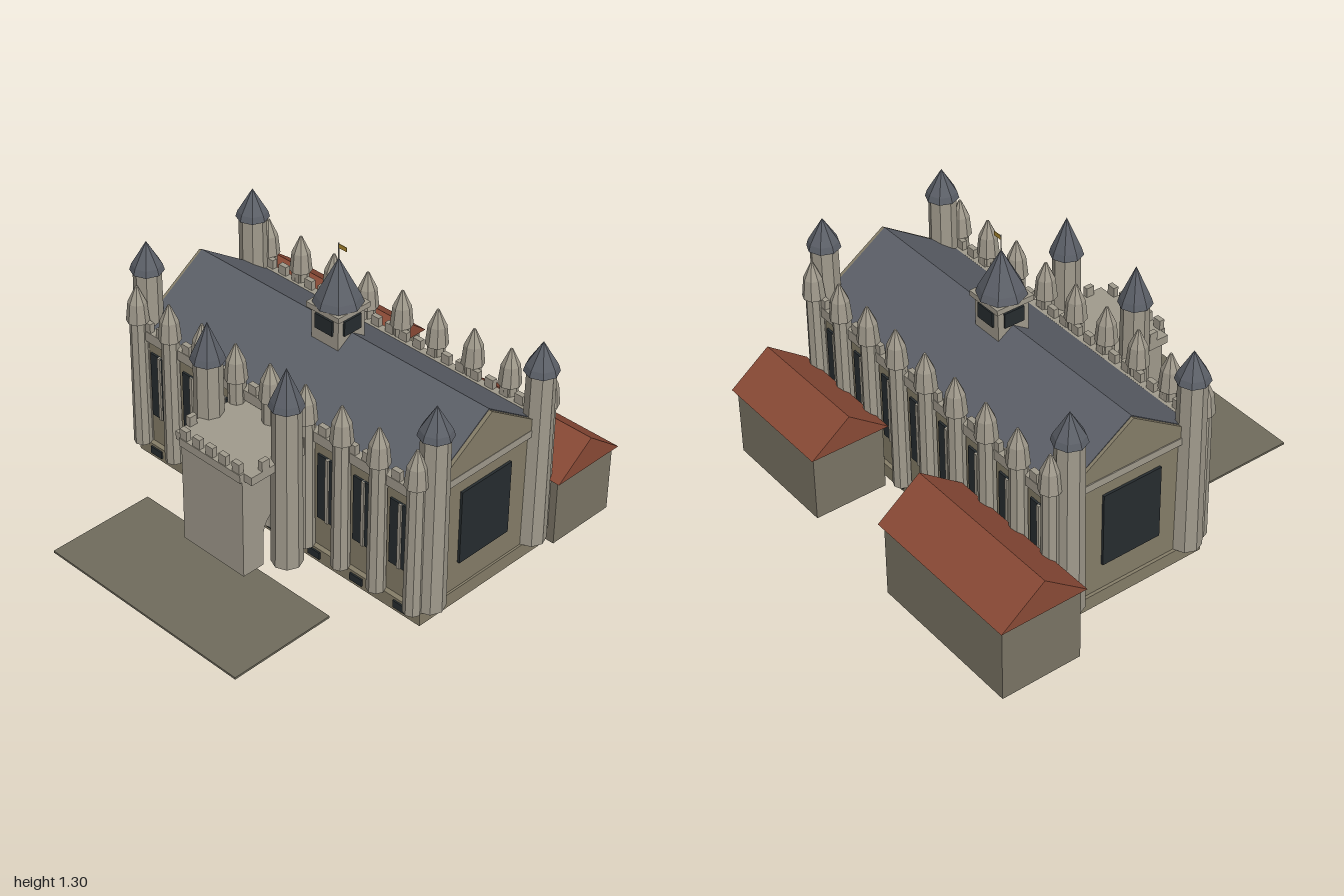
import * as THREE from 'three';

const mat = (color, side = THREE.FrontSide) =>
  new THREE.MeshStandardMaterial({ color, flatShading: true, side });
const stone = mat(0xa09a8c), wall = mat(0x857d68), slate = mat(0x5c6068), glass = mat(0x262c2f);
const tile = mat(0x8a4a36), plaster = mat(0x7a7465), paving = mat(0x6f6b5c), gold = mat(0xa8862f, THREE.DoubleSide);

// Building axis
const CX = 0.07, CZ = -0.16;

export function createModel() {
  const model = new THREE.Group();

  const add = (name, geo, material, x = 0, y = 0, z = 0, parent = model) => {
    const m = new THREE.Mesh(geo, material);
    m.name = name;
    m.position.set(x, y, z);
    parent.add(m);
    return m;
  };
  // Box given by its bounds on each axis
  const box = (name, material, [x0, x1], [y0, y1], [z0, z1], parent = model) =>
    add(name, new THREE.BoxGeometry(x1 - x0, y1 - y0, z1 - z0), material,
      (x0 + x1) / 2, (y0 + y1) / 2, (z0 + z1) / 2, parent);
  // Cross-section in (z, y), extruded from x0 to x1
  const alongX = (name, shape, material, x0, x1, parent = model) => {
    const geo = new THREE.ExtrudeGeometry(shape, { depth: x1 - x0, bevelEnabled: false, curveSegments: 8 });
    geo.rotateY(-Math.PI / 2); // shape x -> z, depth -> -x
    return add(name, geo, material, x1, 0, 0, parent);
  };
  const gableRoof = (name, material, x0, x1, z0, z1, eave, ridge, parent) => {
    const s = new THREE.Shape([[z0, eave], [z1, eave], [(z0 + z1) / 2, ridge]].map(p => new THREE.Vector2(...p)));
    return alongX(name, s, material, x0, x1, parent);
  };
  const octagon = (name, points, material, x, z, parent) =>
    add(name, new THREE.LatheGeometry(points.map(p => new THREE.Vector2(...p)), 8), material, x, 0, z, parent);

  // Plinth with cellar windows
  box('plinth', wall, [-0.79, 0.93], [0, 0.068], [-0.54, 0.225]);
  for (let i = 0; i < 7; i++) {
    const x = -0.675 + i * 0.249;
    for (const z of [-0.54, 0.225])
      box('cellarWindow', glass, [x - 0.035, x + 0.035], [0.02, 0.056], [z - 0.008, z + 0.008]);
  }

  // Hall walls, roof and gables
  box('hallWalls', wall, [-0.775, 0.92], [0.068, 0.65], [-0.52, 0.2]);
  gableRoof('hallRoof', slate, -0.77, 0.915, -0.53, 0.21, 0.65, 0.897);
  for (const x of [-0.785, 0.915]) gableRoof('gable', wall, x, x + 0.018, -0.53, 0.21, 0.648, 0.892);
  for (const [x, s] of [[-0.775, -1], [0.92, 1]]) {
    add('gableBand', new THREE.BoxGeometry(0.03, 0.035, 0.72), stone, x, 0.65, CZ);
    add('gableWindow', new THREE.BoxGeometry(0.02, 0.365, 0.3), glass, x + s * 0.002, 0.383, CZ + 0.005);
  }

  // Long sides: parapet, paired windows, buttresses with pinnacles
  const step = 0.2066;
  for (const s of [-1, 1]) {
    const side = new THREE.Group();
    side.name = s > 0 ? 'frontSide' : 'backSide';
    model.add(side);
    const face = CZ + s * 0.36;
    add('parapet', new THREE.BoxGeometry(1.66, 0.05, 0.04), stone, CX, 0.642, face + s * 0.005, side);
    for (let i = 0; i < 20; i++)
      add('merlon', new THREE.BoxGeometry(0.045, 0.05, 0.025), stone, CX + (i - 9.5) * 0.0826, 0.687, face + s * 0.01, side);
    for (let i = 0; i < 8; i++) {
      const x = CX + (i - 3.5) * step;
      add('window', new THREE.BoxGeometry(0.12, 0.33, 0.02), glass, x, 0.385, face, side);
      add('mullion', new THREE.BoxGeometry(0.016, 0.33, 0.02), stone, x, 0.385, face + s * 0.008, side);
    }
    for (let i = 0; i < 9; i++) {
      const x = CX + (i - 4) * step, z = CZ + s * 0.395;
      octagon('buttress', [[0, 0.068], [0.042, 0.068], [0.038, 0.72], [0, 0.72]], stone, x, z, side);
      octagon('pinnacle', [[0, 0.715], [0.052, 0.715], [0.042, 0.81], [0.006, 0.888], [0, 0.888]], stone, x, z, side);
    }
  }

  // Octagonal towers with slate caps
  const tower = (name, x, z, eave, tip) => {
    const g = new THREE.Group();
    g.name = name;
    model.add(g);
    octagon('towerShaft', [[0, 0.068], [0.07, 0.068], [0.063, eave + 0.01], [0, eave + 0.01]], stone, x, z, g);
    octagon('towerCap', [[0, eave], [0.077, eave], [0.068, eave + 0.03], [0, tip]], slate, x, z, g);
  };
  for (const x of [-0.775, 0.918])
    for (const z of [-0.475, 0.155]) tower('cornerTower', x, z, 0.93, 1.073);
  for (const x of [-0.161, 0.304]) tower('gateTower', x, 0.37, 0.865, 1.05);

  // Gatehouse with an arched passage from side to side
  const gate = new THREE.Group();
  gate.name = 'gatehouse';
  model.add(gate);
  const profile = new THREE.Shape();
  profile.moveTo(0.19, 0.068);
  profile.lineTo(0.27, 0.068);
  profile.lineTo(0.27, 0.22);
  profile.absellipse(0.365, 0.22, 0.095, 0.11, Math.PI, 0, true);
  profile.lineTo(0.46, 0.068);
  profile.lineTo(0.575, 0.068);
  profile.lineTo(0.575, 0.57);
  profile.lineTo(0.19, 0.57);
  alongX('gateBody', profile, stone, -0.11, 0.255, gate);
  box('gateTop', stone, [-0.155, 0.3], [0.562, 0.602], [0.19, 0.565], gate);
  box('gateFrontParapet', stone, [-0.11, 0.255], [0.562, 0.602], [0.56, 0.588], gate);
  for (let i = 0; i < 5; i++)
    add('gateMerlon', new THREE.BoxGeometry(0.042, 0.048, 0.025), stone, CX + (i - 2) * 0.078, 0.625, 0.572, gate);
  for (const x of [-0.143, 0.288])
    for (const z of [0.25, 0.485])
      add('gateSideMerlon', new THREE.BoxGeometry(0.024, 0.048, 0.04), stone, x, 0.625, z, gate);

  // Ridge cupola with flag
  const cupola = new THREE.Group();
  cupola.name = 'cupola';
  cupola.position.set(CX + 0.003, 0, CZ + 0.003);
  model.add(cupola);
  add('cupolaBody', new THREE.BoxGeometry(0.158, 0.19, 0.158), stone, 0, 0.9, 0, cupola);
  add('cupolaWindowX', new THREE.BoxGeometry(0.176, 0.072, 0.1), glass, 0, 0.94, 0, cupola);
  add('cupolaWindowZ', new THREE.BoxGeometry(0.1, 0.072, 0.176), glass, 0, 0.94, 0, cupola);
  add('cupolaCornice', new THREE.BoxGeometry(0.19, 0.026, 0.19), stone, 0, 1.004, 0, cupola);
  octagon('cupolaCap', [[0, 1.017], [0.11, 1.017], [0.098, 1.05], [0, 1.232]], slate, 0, 0, cupola);
  add('flagPole', new THREE.CylinderGeometry(0.003, 0.003, 0.09, 6), stone, 0, 1.257, 0, cupola);
  add('flag', new THREE.BoxGeometry(0.044, 0.02, 0.003), gold, 0.023, 1.288, 0, cupola);

  // Outbuildings behind the hall
  const house = (name, x0, x1, z0, z1, eave, ridge) => {
    const g = new THREE.Group();
    g.name = name;
    model.add(g);
    box('houseWalls', plaster, [x0 + 0.02, x1 - 0.02], [0, eave + 0.004], [z0 + 0.017, z1 - 0.017], g);
    gableRoof('houseRoof', tile, x0, x1, z0, z1, eave, ridge, g);
  };
  house('rightOutbuilding', -1, -0.175, -0.985, -0.56, 0.367, 0.53);
  house('leftOutbuilding', 0.355, 0.985, -0.952, -0.56, 0.333, 0.48);

  // Forecourt
  box('forecourt', paving, [-0.49, 0.635], [0, 0.01], [0.45, 0.985]);

  return model;
}
